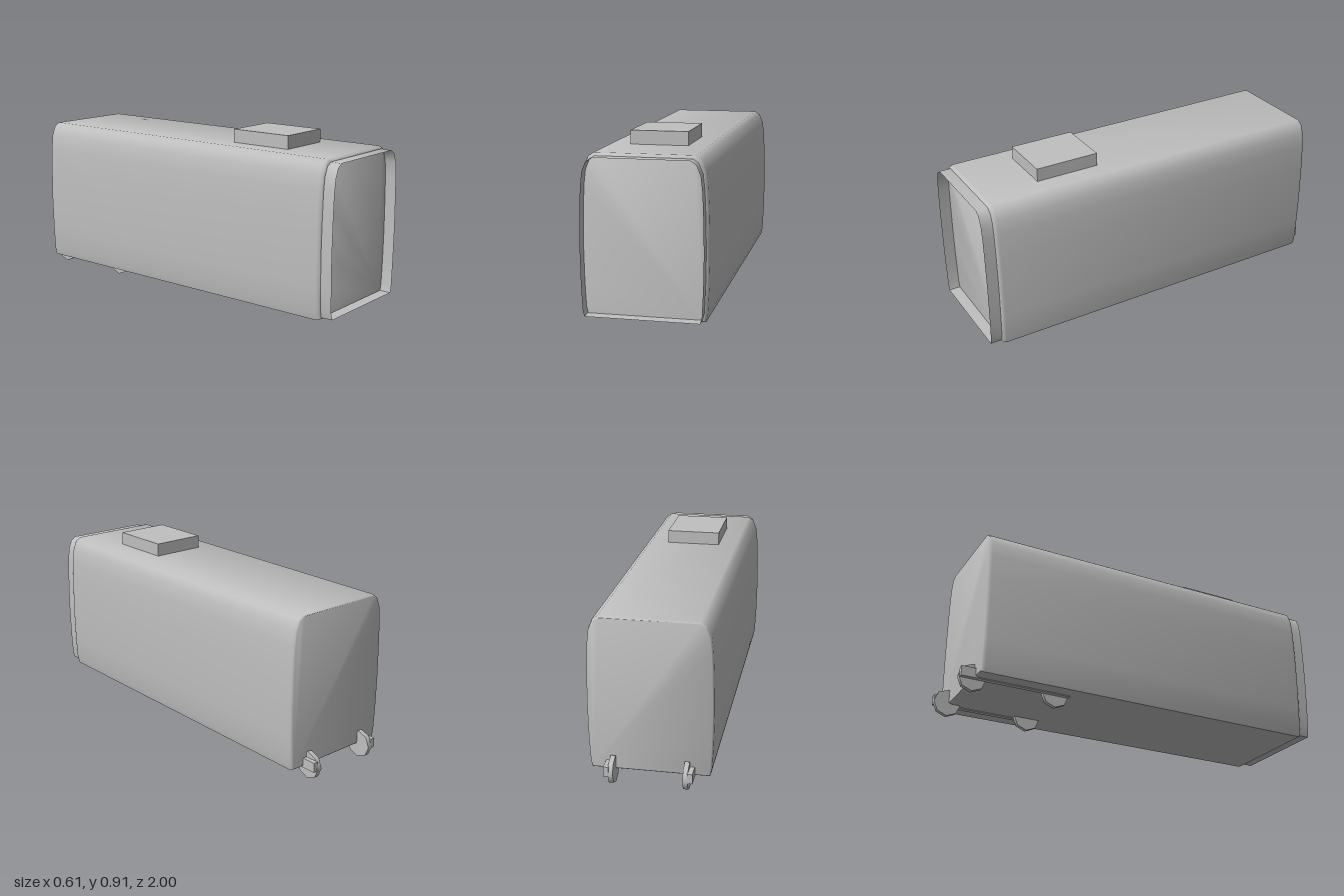
import * as THREE from 'three';
import { toCreasedNormals } from 'three/addons/utils/BufferGeometryUtils.js';

// Right half of the car's cross-section, floor to roof
const HALF = [
  [0.288, 0.065], [0.296, 0.1], [0.302, 0.23], [0.305, 0.4], [0.302, 0.57],
  [0.297, 0.7], [0.288, 0.775], [0.268, 0.823], [0.24, 0.842],
];
const SECTION = [...HALF, ...HALF.map(([x, y]) => [-x, y]).reverse()];
const MID_Y = 0.4535;

// Joins scaled copies of the section, listed front to back as [z, scaleX, scaleY]
function loft(stations, capped) {
  const n = SECTION.length;
  const points = [];
  const index = [];
  for (const [z, sx, sy] of stations) {
    for (const [x, y] of SECTION) points.push(x * sx, MID_Y + (y - MID_Y) * sy, z);
  }
  for (let s = 0; s < stations.length - 1; s++) {
    for (let i = 0; i < n; i++) {
      const a = s * n + i;
      const b = s * n + ((i + 1) % n);
      index.push(a, a + n, b, b, a + n, b + n);
    }
  }
  if (capped) {
    const last = (stations.length - 1) * n;
    for (let i = 1; i < n - 1; i++) {
      index.push(0, i, i + 1, last, last + i + 1, last + i);
    }
  }
  const geometry = new THREE.BufferGeometry();
  geometry.setAttribute('position', new THREE.Float32BufferAttribute(points, 3));
  geometry.setIndex(index);
  return toCreasedNormals(geometry, 0.75);
}

export function createModel() {
  const model = new THREE.Group();
  const grey = new THREE.MeshStandardMaterial({ color: 0xbfbfbf, side: THREE.DoubleSide });
  grey.name = 'light grey';

  const add = (name, geometry, x = 0, y = 0, z = 0) => {
    const mesh = new THREE.Mesh(geometry, grey);
    mesh.name = name;
    mesh.position.set(x, y, z);
    model.add(mesh);
    return mesh;
  };

  // Car body with softened end edges
  add('carBody', loft([
    [0.94, 0.965, 0.978], [0.935, 0.985, 0.99], [0.92, 1, 1],
    [-0.905, 1, 1], [-0.918, 0.99, 0.994], [-0.922, 0.975, 0.985],
  ], true));

  // Open gangway sleeve at the front
  add('gangwaySleeve', loft([[1, 0.955, 0.965], [0.935, 0.955, 0.965]], false));

  // Roof unit
  add('roofUnit', new THREE.BoxGeometry(0.286, 0.075, 0.335), 0, 0.8725, 0.4675);

  // Rear bogie: side beams and eight-sided wheels
  for (const side of [-1, 1]) {
    add('bogieBeam', new THREE.BoxGeometry(0.026, 0.05, 0.57), side * 0.202, 0.085, -0.71);
    for (const z of [-0.495, -0.93]) {
      const wheel = add('wheel', new THREE.CylinderGeometry(0.07, 0.07, 0.024, 8), side * 0.18, 0.07, z);
      wheel.rotation.z = Math.PI / 2;
    }
  }
  return model;
}
